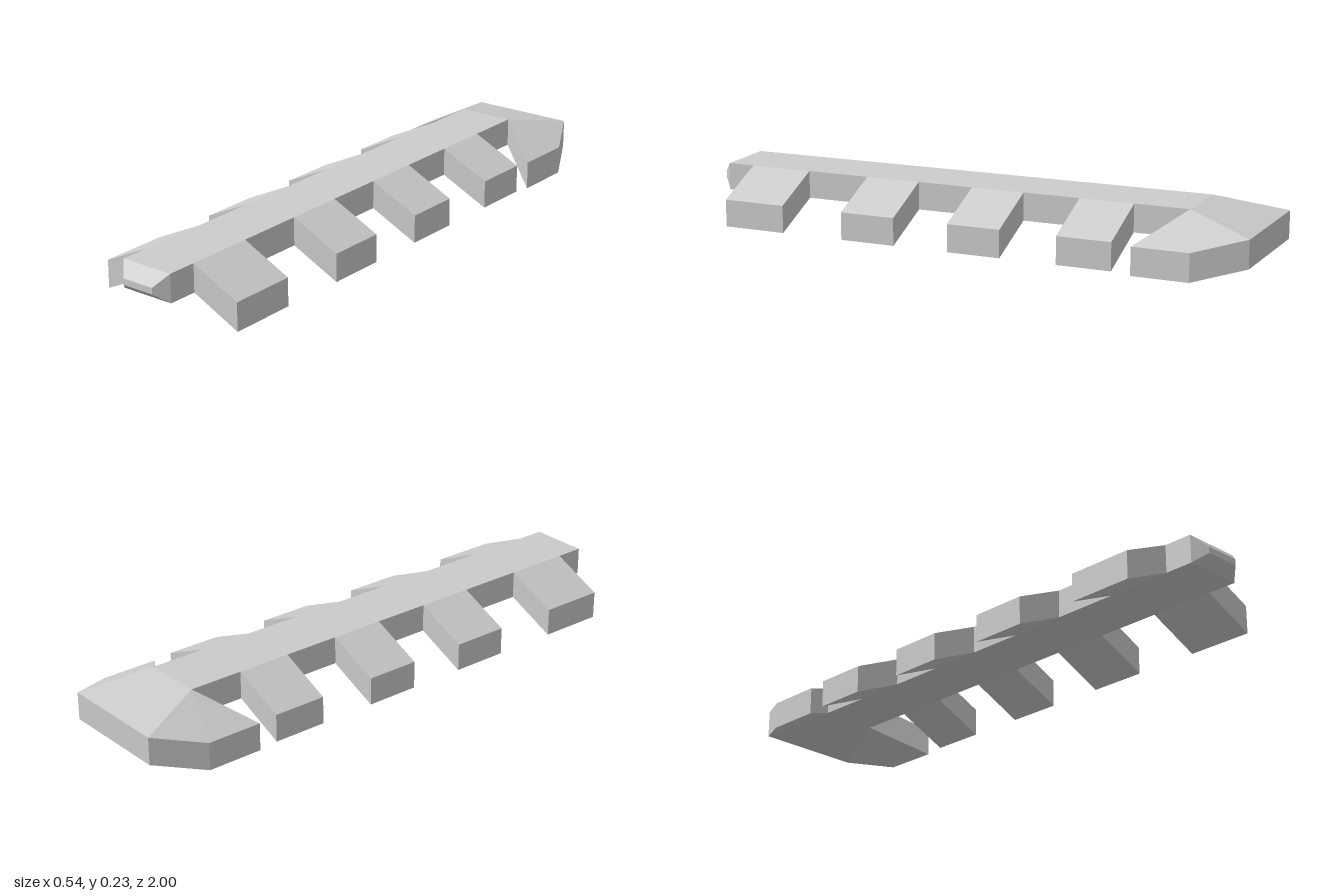
import * as THREE from 'three';

const W = 0.098;          // half width of the spine
const OUT = 0.272;        // outer reach of the ribs
const THICK = 0.095;
const top = z => 0.207 - 0.033 * z;   // the spine rises gently to the back

const quad = (a, b, c, d) => [a, b, c, a, c, d];
const mirror = tris => tris.flatMap((p, i) =>
  i % 3 ? [] : [p, tris[i + 2], tris[i + 1]].map(([x, y, z]) => [-x, y, z]));

// Slab of even thickness below an outline (counter-clockwise from above).
// walls lists the outline edges that get a side; by default all but the closing one.
function slab(outline, walls = outline.slice(1).map((_, i) => i)) {
  const low = outline.map(([x, y, z]) => [x, y - THICK, z]);
  const n = outline.length, tris = [];
  for (let i = 1; i < n - 1; i++) {
    tris.push(outline[0], outline[i], outline[i + 1], low[0], low[i + 1], low[i]);
  }
  for (const i of walls) {
    const j = (i + 1) % n;
    tris.push(...quad(low[i], low[j], outline[j], outline[i]));
  }
  return tris;
}

export function createModel() {
  const group = new THREE.Group();
  const material = new THREE.MeshStandardMaterial({ color: 0xcccccc, flatShading: true });
  const add = (name, tris) => {
    const geometry = new THREE.BufferGeometry();
    geometry.setAttribute('position', new THREE.Float32BufferAttribute(tris.flat(), 3));
    geometry.computeVertexNormals();
    const mesh = new THREE.Mesh(geometry, material);
    mesh.name = name;
    group.add(mesh);
  };
  const addPair = (name, tris) => {
    add(name + 'Left', tris);
    add(name + 'Right', mirror(tris));
  };

  // Spine in segments; every second one carries a pair of sloping ribs
  const cuts = [0.96, 0.86, 0.63, 0.4, 0.2, 0, -0.19, -0.39, -0.58, -0.77];
  const spine = [];
  for (let i = 0; i < cuts.length - 1; i++) {
    const f = cuts[i], b = cuts[i + 1], hasRib = i % 2 === 1;
    spine.push(...slab(
      [[-W, top(f), f], [W, top(f), f], [W, top(b), b], [-W, top(b), b]],
      hasRib ? [] : [1, 3]));
    if (hasRib) {
      const drop = 0.081;
      addPair('rib' + (i + 1) / 2, slab([
        [W, top(f), f], [OUT, top(f) - drop, f], [OUT, top(b) - drop, b], [W, top(b), b]]));
    }
  }
  add('spine', spine);

  // Tapered tip at the front
  const ring = (x, y0, y1, z) => [[-x, y0, z], [x, y0, z], [x, y1, z], [-x, y1, z]];
  const base = ring(W, top(0.96) - THICK, top(0.96), 0.96);
  const end = ring(0.06, 0.112, 0.133, 1);
  const tip = quad(...end);
  for (let i = 0; i < 4; i++) {
    const j = (i + 1) % 4;
    tip.push(...quad(base[i], base[j], end[j], end[i]));
  }
  add('frontTip', tip);

  // Head at the back: sloping centre and two swept wings
  const neck = [W, top(-0.77), -0.77], corner = [0.185, 0.188, -1];
  const flip = ([x, y, z]) => [-x, y, z];
  add('headCentre', slab([flip(neck), neck, corner, flip(corner)], [2]));
  addPair('headWing', slab([
    neck, [OUT, 0.14, -0.645], [OUT, 0.146, -0.84], corner]));

  return group;
}
